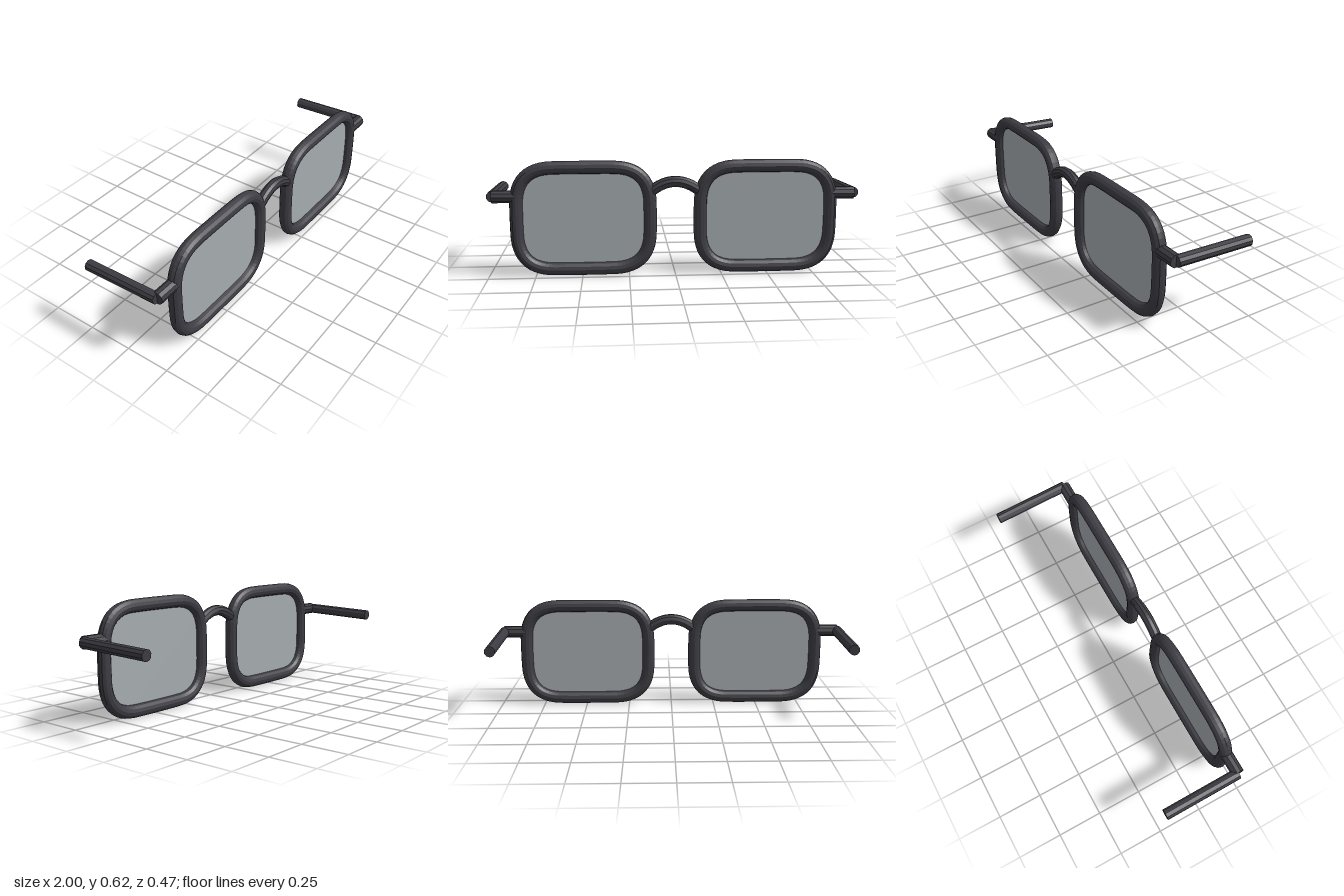
import * as THREE from 'three';

const CX = 0.49, CY = 0.31, Z = 0.2;

// Rounded rectangle with quadratic corners, centred on the origin
function roundedOutline(w, h, r, Type) {
  const s = new Type();
  s.moveTo(-w + r, h);
  s.lineTo(w - r, h);
  s.quadraticCurveTo(w, h, w, h - r);
  s.lineTo(w, -h + r);
  s.quadraticCurveTo(w, -h, w - r, -h);
  s.lineTo(-w + r, -h);
  s.quadraticCurveTo(-w, -h, -w, -h + r);
  s.lineTo(-w, h - r);
  s.quadraticCurveTo(-w, h, -w + r, h);
  return s;
}

// Capped straight rod between two points
function rod(name, from, to, radius, sides, material) {
  const dir = to.clone().sub(from);
  const mesh = new THREE.Mesh(new THREE.CylinderGeometry(radius, radius, dir.length(), sides), material);
  mesh.position.copy(from).addScaledVector(dir, 0.5);
  mesh.quaternion.setFromUnitVectors(new THREE.Vector3(0, 1, 0), dir.normalize());
  mesh.name = name;
  return mesh;
}

export function createModel() {
  const group = new THREE.Group();
  group.name = 'glasses';
  const frameMaterial = new THREE.MeshStandardMaterial({ color: 0x3d3c43, flatShading: true });
  frameMaterial.name = 'dark frame';
  const lensMaterial = new THREE.MeshStandardMaterial({ color: 0xa6acaf, side: THREE.DoubleSide });
  lensMaterial.name = 'grey lens';

  // Closed rim path
  const outline = roundedOutline(0.355, 0.275, 0.2, THREE.Path).getPoints(10);
  outline.pop();
  const rimPath = new THREE.CatmullRomCurve3(outline.map(p => new THREE.Vector3(p.x, p.y, 0)), true, 'centripetal');
  const rimGeometry = new THREE.TubeGeometry(rimPath, 96, 0.035, 12, true);
  const lensGeometry = new THREE.ShapeGeometry(roundedOutline(0.345, 0.265, 0.19, THREE.Shape), 10);

  for (const [side, s] of [['left', 1], ['right', -1]]) {
    // Rim and lens
    const rim = new THREE.Mesh(rimGeometry, frameMaterial);
    rim.name = side + 'Rim';
    rim.position.set(s * CX, CY, Z);
    const lens = new THREE.Mesh(lensGeometry, lensMaterial);
    lens.name = side + 'Lens';
    lens.position.copy(rim.position);

    // Hinge stub and temple arm
    const corner = new THREE.Vector3(s * 0.97, 0.434, Z);
    const hinge = rod(side + 'Hinge', new THREE.Vector3(s * 0.84, 0.434, Z), corner, 0.034, 10, frameMaterial);
    const temple = rod(side + 'Temple', corner, new THREE.Vector3(s * 0.97, 0.419, -0.232), 0.03, 10, frameMaterial);
    group.add(rim, lens, hinge, temple);
  }

  // Arched nose bridge
  const bridgePath = new THREE.QuadraticBezierCurve3(
    new THREE.Vector3(-0.135, 0.45, Z), new THREE.Vector3(0, 0.56, Z), new THREE.Vector3(0.135, 0.45, Z));
  const bridge = new THREE.Mesh(new THREE.TubeGeometry(bridgePath, 20, 0.03, 10, false), frameMaterial);
  bridge.name = 'bridge';
  group.add(bridge);

  return group;
}
